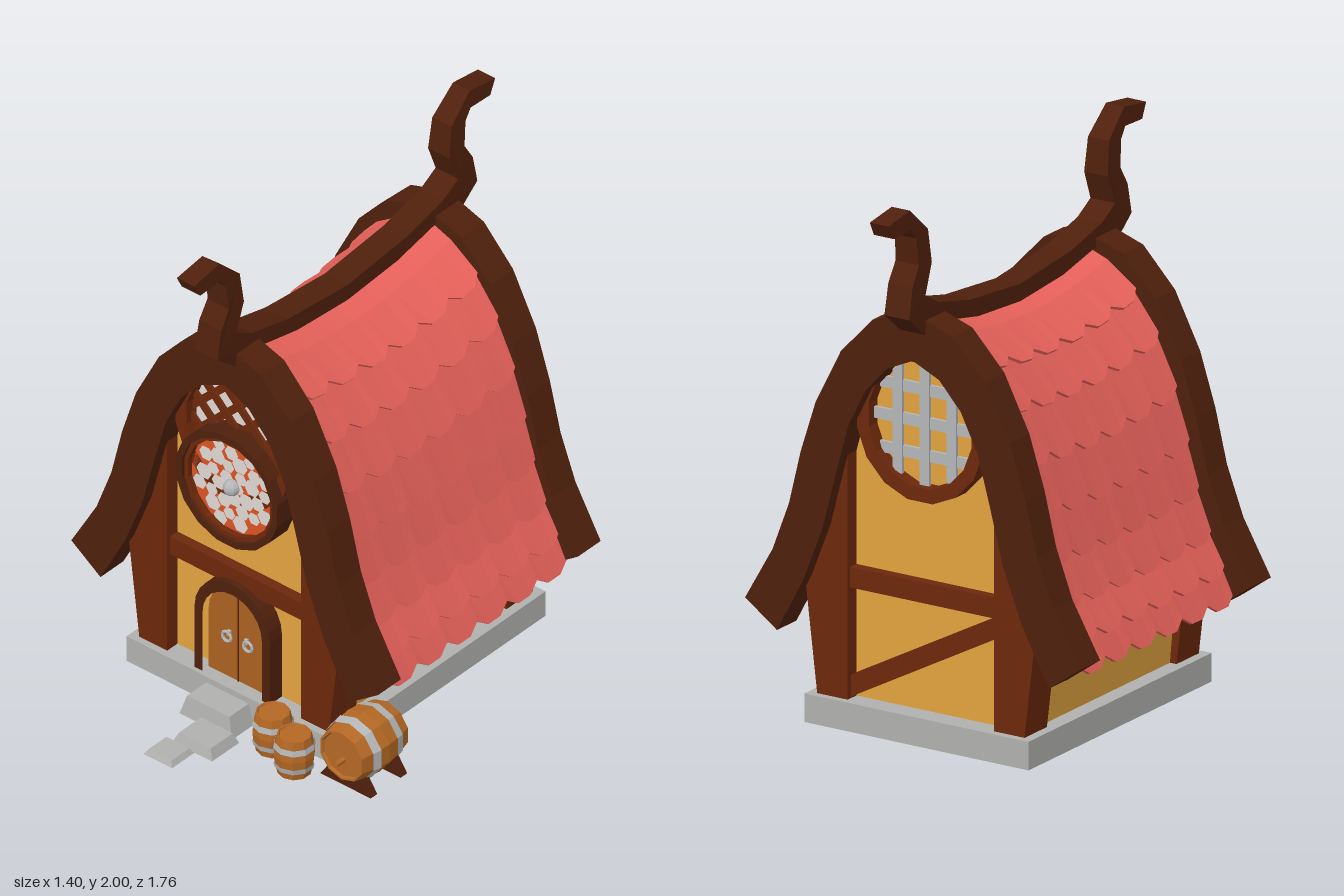
import * as THREE from 'three';

const mat = (name, color, side = THREE.FrontSide) => {
  const m = new THREE.MeshStandardMaterial({ color, side });
  m.name = name;
  return m;
};
const M = {
  roof: mat('rose tiles', 0xe9625b, THREE.DoubleSide),
  wall: mat('ochre plaster', 0xe2a33f),
  trim: mat('dark timber', 0x4f200c),
  post: mat('warm timber', 0x6c280b),
  door: mat('door wood', 0xac6020),
  barrel: mat('barrel wood', 0xb46824),
  stone: mat('stone', 0xb0b0ae),
  metal: mat('iron', 0xb4b6b8),
  pale: mat('pale glass', 0xe0d9d5),
  orange: mat('orange glass', 0xdc5424),
};

// Faceted mesh helper
function add(parent, name, geo, material, x = 0, y = 0, z = 0) {
  const g = geo.index ? geo.toNonIndexed() : geo;
  g.computeVertexNormals();
  const m = new THREE.Mesh(g, material);
  m.name = name;
  m.position.set(x, y, z);
  parent.add(m);
  return m;
}
function group(parent, name, x = 0, y = 0, z = 0) {
  const g = new THREE.Group();
  g.name = name;
  g.position.set(x, y, z);
  parent.add(g);
  return g;
}
const poly = pts => new THREE.Shape(pts.map(p => new THREE.Vector2(p[0], p[1])));
const flipX = pts => pts.map(([x, y]) => [-x, y]);
const extrude = (shape, z0, z1, curveSegments = 6) =>
  new THREE.ExtrudeGeometry(shape, { depth: z1 - z0, bevelEnabled: false, curveSegments }).translate(0, 0, z0);
const circlePts = (r, n) => Array.from({ length: n }, (_, i) => {
  const a = ((i + 0.5) / n) * Math.PI * 2;
  return [Math.cos(a) * r, Math.sin(a) * r];
});
function ring(ro, ri, n, z0, z1) {
  const s = poly(circlePts(ro, n));
  s.holes.push(poly(circlePts(ri, n)));
  return extrude(s, z0, z1);
}
function arch(w, spring, y0) {
  const s = new THREE.Shape();
  s.moveTo(-w, y0);
  s.lineTo(-w, spring);
  s.absarc(0, spring, w, Math.PI, 0, true);
  s.lineTo(w, y0);
  return s;
}

// Gable arch profile, bottom to apex
const OUTER = [[0.7, 0.42], [0.585, 0.62], [0.517, 0.8], [0.468, 1.0], [0.405, 1.195], [0.3, 1.4], [0.167, 1.54], [0, 1.595]];
const INNER = [[0.567, 0.325], [0.455, 0.535], [0.375, 0.74], [0.32, 0.95], [0.27, 1.13], [0.2, 1.27], [0.11, 1.37], [0, 1.42]];
// Lower edge of each tile course, then the ridge
const COURSES = [[0.62, 0.375], [0.585, 0.475], [0.53, 0.595], [0.48, 0.75], [0.44, 0.915], [0.388, 1.1], [0.312, 1.28], [0.218, 1.42], [0.11, 1.51], [0, 1.55]];

function roofSide() {
  const half = 0.48, teeth = 6, lip = 0.013, out = [], cols = [];
  for (let t = 0; t < teeth; t++) for (const [u, e] of [[0, 0], [0.3, 1], [0.7, 1]])
    cols.push([-half + ((t + u) / teeth) * half * 2, e]);
  cols.push([half, 0]);
  const sag = (x, y, z) => [x, y - 0.06 * (1 - (z / half) ** 2) * Math.max(0, (y - 0.36) / 1.18), z];
  const quad = (a, b, c, d) => out.push(...a, ...d, ...c, ...a, ...c, ...b);
  for (let i = 0; i < COURSES.length - 1; i++) {
    const [x0, y0] = COURSES[i], [x1, y1] = COURSES[i + 1];
    const len = Math.hypot(x1 - x0, y1 - y0), dx = (x0 - x1) / len, dy = (y0 - y1) / len;
    const plain = i === 8;
    const at = ([z, e], lift) => {
      const k = plain ? 0 : e * 0.035, l = plain ? 0 : lift;
      return sag(x0 + dx * k - dy * l, y0 + dy * k + dx * l, z);
    };
    for (let c = 0; c < cols.length - 1; c++) {
      const p = cols[c], q = cols[c + 1];
      quad(at(p, lip), at(q, lip), sag(x1, y1, q[0]), sag(x1, y1, p[0]));
      if (!plain) quad(at(p, 0), at(q, 0), at(q, lip), at(p, lip));
    }
  }
  const g = new THREE.BufferGeometry();
  g.setAttribute('position', new THREE.Float32BufferAttribute(out, 3));
  return g;
}

// Curved ridge beam ending in upturned horns
function ridge() {
  const top = [[0.805, 1.98], [0.67, 2.0], [0.566, 1.905], [0.55, 1.78], [0.593, 1.67], [0.513, 1.623], [0.317, 1.575], [0, 1.544]];
  const low = [[0.775, 1.926], [0.67, 1.93], [0.64, 1.89], [0.63, 1.79], [0.672, 1.72], [0.695, 1.607], [0.593, 1.523], [0.476, 1.545], [0.265, 1.5], [0, 1.48]];
  const pts = [...top, ...flipX(top.slice(0, -1)).reverse(), ...flipX(low), ...low.slice(0, -1).reverse()];
  const g = extrude(poly(pts), -0.052, 0.052).rotateY(-Math.PI / 2);
  const p = g.attributes.position;
  for (let i = 0; i < p.count; i++)
    p.setX(i, p.getX(i) * (1 - 0.27 * Math.max(0, (p.getY(i) - 1.6) / 0.4) ** 2));
  return g;
}

// Crossed bars clipped to a circle
function lattice(parent, r, angles, offsets, width, material, z) {
  angles.forEach((a, k) => offsets.forEach(t => {
    const bar = add(parent, 'latticeBar', new THREE.BoxGeometry(2 * Math.sqrt(r * r - t * t), width, 0.012), material,
      -Math.sin(a) * t, Math.cos(a) * t, z + k * 0.008);
    bar.rotation.z = a;
  }));
}

// Upright staved barrel centred on its own origin
function barrel(parent, name, r, h, x, y, z) {
  const b = group(parent, name, x, y, z);
  const prof = [[0.0, -0.46], [0.72, -0.46], [0.76, -0.5], [0.82, -0.5], [0.96, -0.2], [1, 0], [0.96, 0.2], [0.82, 0.5], [0.76, 0.5], [0.72, 0.46], [0, 0.46]];
  add(b, 'staves', new THREE.LatheGeometry(prof.map(([px, py]) => new THREE.Vector2(px * r, py * h)), 10), M.barrel);
  for (const s of [-1, 1]) {
    const hoop = [[0.905, 0.32], [0.97, 0.18]].map(([px, py]) => new THREE.Vector2(px * r + 0.004, py * h * s));
    if (s > 0) hoop.reverse();
    add(b, 'hoop', new THREE.LatheGeometry(hoop, 10), M.metal);
  }
  return b;
}

export function createModel() {
  const model = new THREE.Group();
  model.name = 'cottage';
  const house = group(model, 'house', -0.008, 0, -0.073);

  // Foundation and walls
  add(house, 'foundation', new THREE.BoxGeometry(0.935, 0.105, 1.145), M.stone, 0, 0.0525, 0);
  const wallHalf = [[0.405, 0.1], [0.44, 0.5], [0.43, 0.75], [0.365, 1.05], [0.225, 1.27]];
  add(house, 'walls', extrude(poly([...wallHalf, [0, 1.44], ...flipX(wallHalf).reverse()]), -0.49, 0.49), M.wall);

  // Roof, gable boards and ridge
  add(house, 'roofLeft', roofSide(), M.roof, 0.012);
  add(house, 'roofRight', roofSide().rotateY(Math.PI), M.roof, 0.012);
  const board = [...OUTER, ...flipX(OUTER.slice(0, -1)).reverse(), ...flipX(INNER), ...INNER.slice(0, -1).reverse()];
  for (const s of [0, Math.PI])
    add(house, 'gableBoard', extrude(poly(board), 0.473, 0.595).rotateY(s), M.trim);
  add(house, 'ridgeBeam', ridge(), M.trim);

  // Corner posts and cross beams
  const post = [[0.305, 0.1], [0.432, 0.1], [0.48, 0.5], [0.43, 0.75], [0.36, 1.0], [0.305, 1.12]];
  for (const s of [0, Math.PI]) {
    for (const pts of [post, flipX(post)])
      add(house, 'cornerPost', extrude(poly(pts), 0.405, 0.545).rotateY(s), M.post);
    add(house, 'crossBeam', new THREE.BoxGeometry(0.62, 0.075, 0.05), M.post, 0, 0.55, s ? -0.505 : 0.505);
  }
  add(house, 'backBrace', extrude(poly([[0.306, 0.11], [0.306, 0.19], [-0.306, 0.52], [-0.306, 0.44]]), -0.525, -0.48), M.post);

  // Oval gable windows, front and back
  for (const front of [true, false]) {
    const w = group(house, front ? 'frontGableWindow' : 'backGableWindow', 0, 1.17, 0);
    w.rotation.y = front ? 0 : Math.PI;
    w.scale.x = 0.94;
    add(w, 'frame', ring(0.285, 0.232, 16, 0.47, 0.55), M.post);
    add(w, 'pane', extrude(poly(circlePts(0.24, 16)), 0.488, 0.496), front ? M.pale : M.wall);
    if (front) lattice(w, 0.235, [0.75, -0.75], [-0.17, -0.085, 0, 0.085, 0.17], 0.03, M.post, 0.51);
    else lattice(w, 0.235, [0, Math.PI / 2], [-0.12, 0, 0.12], 0.042, M.metal, 0.51);
  }

  // Rose window
  const rose = group(house, 'roseWindow', 0, 0.96, 0);
  add(rose, 'outerRing', ring(0.235, 0.208, 16, 0.48, 0.585), M.trim);
  add(rose, 'innerRing', ring(0.211, 0.191, 16, 0.48, 0.572), M.post);
  add(rose, 'orangePane', extrude(poly(circlePts(0.195, 16)), 0.485, 0.55), M.orange);
  const n = 30;
  for (let k = 0; k < n; k++) {
    const r = 0.172 * Math.sqrt((k + 0.5) / n), a = k * 2.4;
    add(rose, 'palePiece', new THREE.CircleGeometry(0.027 + 0.004 * (k % 3), 6), M.pale, Math.cos(a) * r, Math.sin(a) * r, 0.5515);
  }
  add(rose, 'knob', new THREE.SphereGeometry(0.032, 10, 8), M.metal, 0, 0, 0.557);

  // Arched double door
  const door = group(house, 'door');
  const frame = arch(0.172, 0.368, 0.1);
  frame.holes.push(arch(0.135, 0.36, 0.1));
  add(door, 'doorFrame', extrude(frame, 0.48, 0.555), M.trim);
  add(door, 'doorLeaves', extrude(arch(0.137, 0.36, 0.1), 0.48, 0.52), M.door);
  add(door, 'doorGap', new THREE.BoxGeometry(0.004, 0.39, 0.006), M.trim, 0, 0.3, 0.521);
  for (const s of [-1, 1]) {
    add(door, 'handleRing', new THREE.TorusGeometry(0.02, 0.006, 5, 10), M.metal, s * 0.048, 0.28, 0.528);
    add(door, 'handlePlate', new THREE.BoxGeometry(0.014, 0.02, 0.012), M.metal, s * 0.04, 0.297, 0.525);
  }

  // Bevelled stepping stones: x, z, width, depth, height
  const steps = [[-0.015, 0.55, 0.24, 0.13, 0.08], [0.045, 0.685, 0.18, 0.145, 0.04], [-0.01, 0.818, 0.13, 0.12, 0.02]];
  for (const [x, z, w, d, h] of steps) {
    const g = new THREE.CylinderGeometry(0.57, Math.SQRT1_2, 1, 4).rotateY(Math.PI / 4).scale(w, h, d);
    add(model, 'step', g, M.stone, x, h / 2, z);
  }

  // Barrels
  barrel(model, 'smallBarrel', 0.074, 0.16, 0.245, 0.08, 0.56);
  barrel(model, 'smallBarrel', 0.074, 0.16, 0.385, 0.08, 0.61);
  const cask = barrel(model, 'cask', 0.122, 0.245, 0.58, 0.14, 0.465);
  cask.rotation.x = Math.PI / 2;
  add(model, 'caskTap', new THREE.CylinderGeometry(0.012, 0.012, 0.05, 6).rotateX(Math.PI / 2), M.barrel, 0.58, 0.12, 0.593);
  const cradle = poly([[-0.115, 0], [-0.075, 0.06], [-0.03, 0.03], [0.03, 0.03], [0.075, 0.06], [0.115, 0]]);
  for (const z of [0.37, 0.53]) add(model, 'caskCradle', extrude(cradle, 0, 0.035), M.trim, 0.58, 0, z);
  return model;
}
